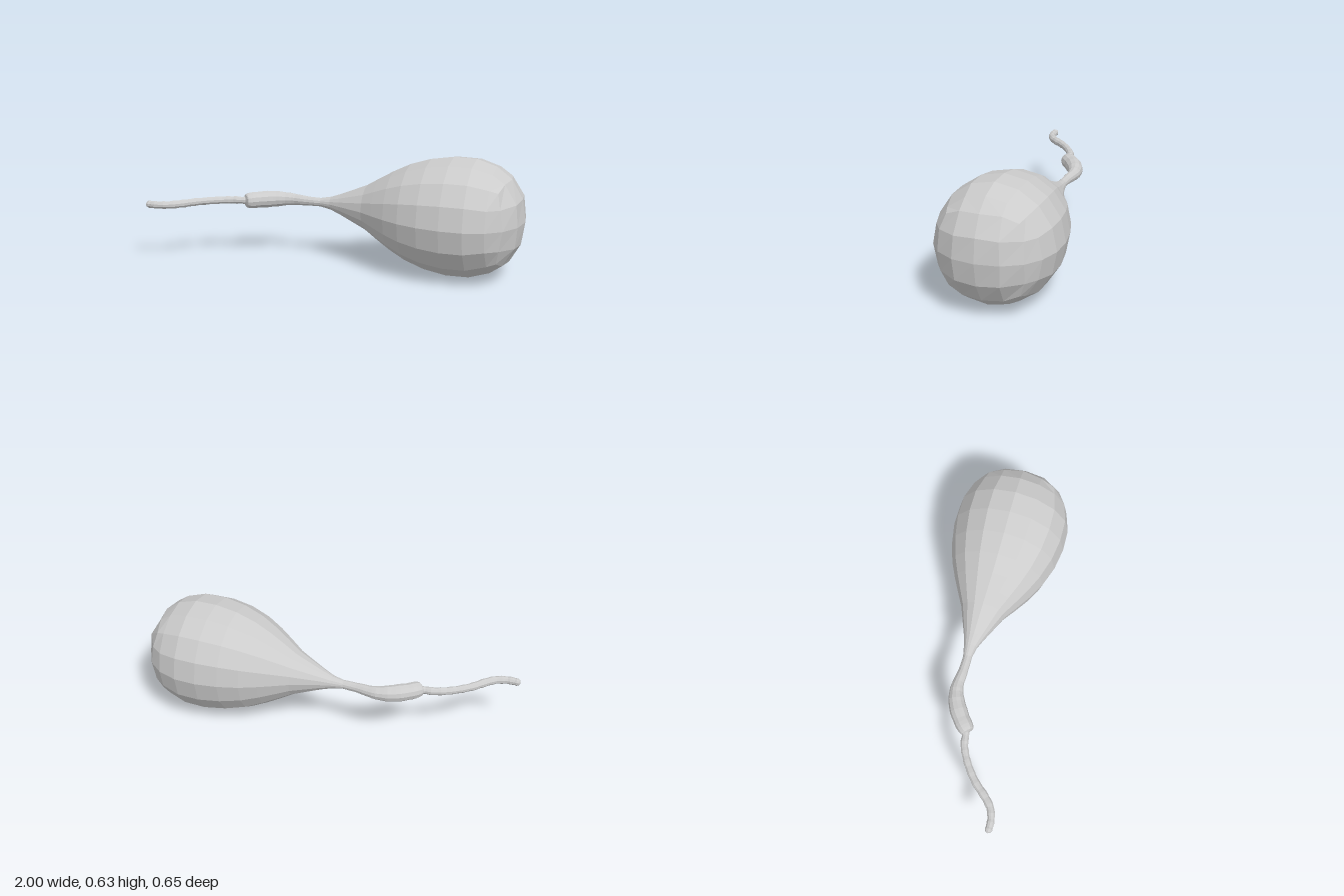
import * as THREE from 'three';

const AXIS_Y = 0.316;
const SIDES = 16;

function flatMesh(name, points, index) {
  const geo = new THREE.BufferGeometry();
  geo.setAttribute('position', new THREE.Float32BufferAttribute(points.flatMap(p => p.toArray()), 3));
  geo.setIndex(index);
  geo.computeVertexNormals();
  const mesh = new THREE.Mesh(geo, new THREE.MeshStandardMaterial({ color: 0xcccccc, flatShading: true }));
  mesh.name = name;
  return mesh;
}

// Joins consecutive rings of equal size into one surface
function skin(name, rings) {
  const n = rings[0].length, index = [];
  for (let i = 0; i < rings.length - 1; i++) {
    for (let j = 0; j < n; j++) {
      const a = i * n + j, b = i * n + (j + 1) % n;
      index.push(a, b, a + n, b, b + n, a + n);
    }
  }
  return flatMesh(name, rings.flat(), index);
}

// Tube through stations [x, z, radius] lying in a horizontal plane, with slight lumps
function limb(name, stations, sides, steps, lump) {
  const curve = new THREE.CatmullRomCurve3(stations.map(([x, z]) => new THREE.Vector3(x, AXIS_Y, z)));
  const up = new THREE.Vector3(0, 1, 0);
  const last = stations.length - 1;
  const rings = [];
  for (let s = 0; s <= last * steps; s++) {
    const t = s / (last * steps), k = Math.min(Math.floor(s / steps), last - 1);
    const c = curve.getPoint(t), side = curve.getTangent(t).cross(up).normalize();
    let r = THREE.MathUtils.lerp(stations[k][2], stations[k + 1][2], s / steps - k);
    r *= 1 + lump * Math.sin(s * 1.9);
    const ring = [];
    for (let j = 0; j < sides; j++) {
      const a = j / sides * Math.PI * 2;
      ring.push(c.clone().addScaledVector(up, r * Math.cos(a)).addScaledVector(side, r * Math.sin(a)));
    }
    rings.push(ring);
  }
  return skin(name, rings);
}

// Point on the square-gridded cap; i and j run from -2 to 2
function capPoint(i, j) {
  const m = Math.max(Math.abs(i), Math.abs(j));
  if (m === 0) return new THREE.Vector3(1, AXIS_Y, -0.015);
  const corner = Math.min(Math.abs(i), Math.abs(j)) / m;
  const r = m === 2 ? 0.218 + 0.04 * corner : 0.12 + 0.04 * corner;
  const x = m === 2 ? 0.925 - 0.035 * corner : 0.982 - 0.012 * corner;
  const a = Math.atan2(j, i);
  return new THREE.Vector3(x, AXIS_Y + r * Math.cos(a), -0.015 + r * Math.sin(a));
}

function bulbBody() {
  // [x, radius, centre z]
  const profile = [
    [-0.13, 0.022, -0.046], [-0.06, 0.036, -0.046], [0, 0.058, -0.042], [0.08, 0.092, -0.038],
    [0.15, 0.122, -0.034], [0.22, 0.165, -0.028], [0.3, 0.212, -0.022], [0.39, 0.257, -0.018],
    [0.5, 0.293, -0.015], [0.62, 0.313, -0.015], [0.74, 0.311, -0.015], [0.845, 0.278, -0.015],
  ];
  const rings = profile.map(([x, r, z]) => Array.from({ length: SIDES }, (_, k) => {
    const a = k / SIDES * Math.PI * 2;
    return new THREE.Vector3(x, AXIS_Y + r * Math.cos(a), z + r * Math.sin(a));
  }));
  // Final ring follows the edge of the cap grid
  const clamp = v => Math.max(-2, Math.min(2, v));
  rings.push(Array.from({ length: SIDES }, (_, k) => {
    const tri = q => clamp(4 - Math.abs(((q + 8) % 16 + 16) % 16 - 8));
    return capPoint(tri(k), tri(k - 4));
  }));
  return skin('bulbBody', rings);
}

function bulbCap() {
  const points = [], index = [];
  for (let i = -2; i <= 2; i++) for (let j = -2; j <= 2; j++) points.push(capPoint(i, j));
  for (let i = 0; i < 4; i++) {
    for (let j = 0; j < 4; j++) {
      const a = i * 5 + j;
      index.push(a, a + 5, a + 1, a + 1, a + 5, a + 6);
    }
  }
  return flatMesh('bulbCap', points, index);
}

export function createModel() {
  const group = new THREE.Group();
  group.name = 'bulbWithStem';
  group.add(bulbBody(), bulbCap());

  // Thick stem with a blunt end, narrowing into the bulb
  group.add(limb('stem', [
    [-0.522, 0.07, 0.001], [-0.517, 0.065, 0.034], [-0.505, 0.054, 0.043], [-0.46, 0.016, 0.046],
    [-0.4, -0.022, 0.046], [-0.345, -0.045, 0.04], [-0.29, -0.054, 0.033], [-0.22, -0.048, 0.027],
    [-0.15, -0.045, 0.024], [-0.08, -0.046, 0.025],
  ], 12, 3, 0.03));

  // Thin winding tail with a rounded tip
  group.add(limb('tail', [
    [-1, 0.303, 0.001], [-0.994, 0.303, 0.014], [-0.98, 0.304, 0.02], [-0.93, 0.303, 0.02],
    [-0.87, 0.282, 0.021], [-0.82, 0.238, 0.022], [-0.77, 0.182, 0.021], [-0.71, 0.132, 0.02],
    [-0.65, 0.094, 0.02], [-0.59, 0.068, 0.021], [-0.53, 0.058, 0.02], [-0.48, 0.034, 0.02],
  ], 10, 4, 0.06));

  return group;
}
